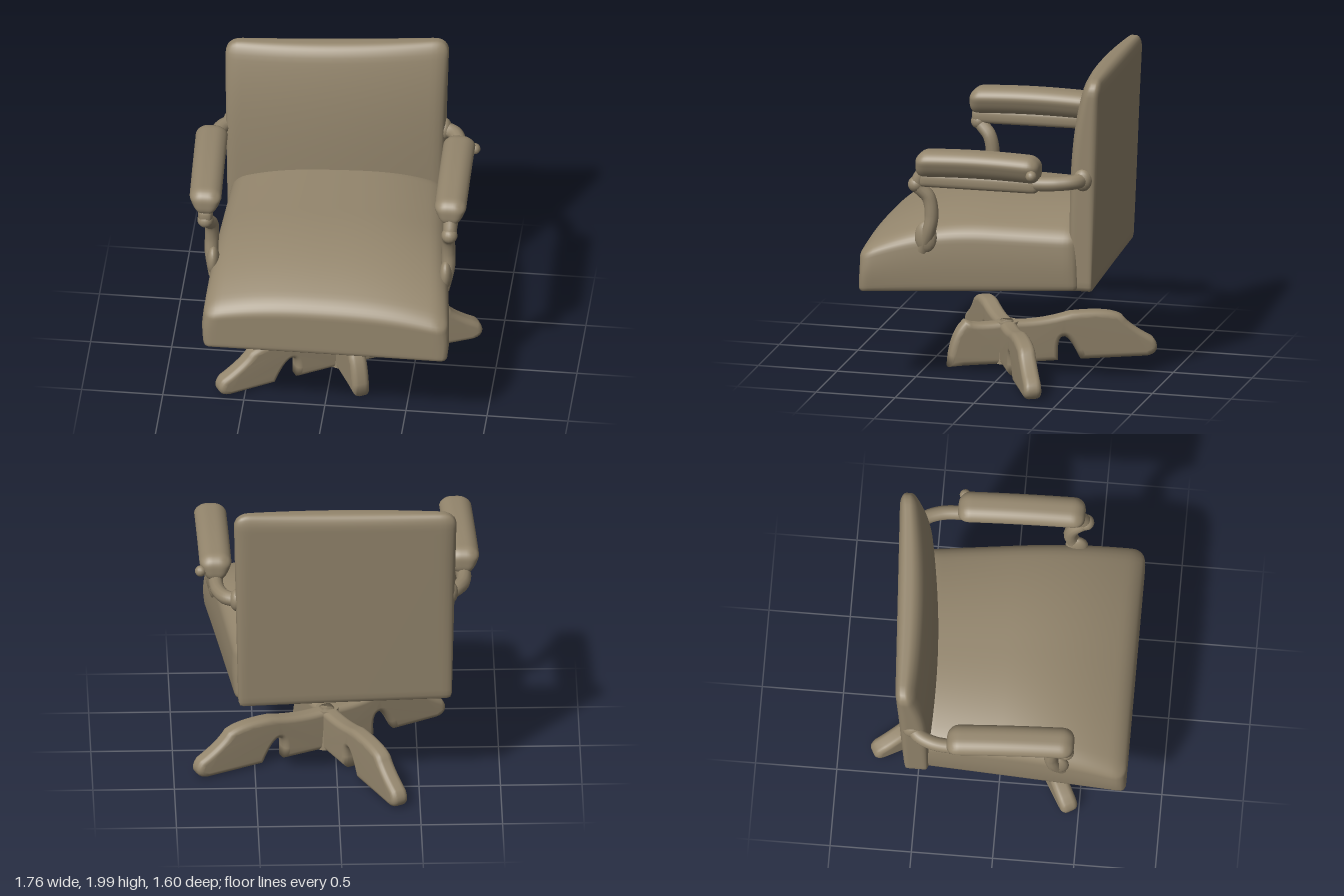
import * as THREE from 'three';
import { mergeVertices } from 'three/addons/utils/BufferGeometryUtils.js';

const material = new THREE.MeshStandardMaterial({ color: 0x94866d });
const { lerp } = THREE.MathUtils;
const V = (x, y, z) => new THREE.Vector3(x, y, z);

function part(name, geometry, parent) {
  const mesh = new THREE.Mesh(geometry, material);
  mesh.name = name;
  parent.add(mesh);
  return mesh;
}

// Padded box with rounded edges (radius changes from bottom to top), then bent by a rule.
function softBox([w, h, d], [nx, ny, nz], rBottom, rTop, rule) {
  let g = new THREE.BoxGeometry(w, h, d, nx, ny, nz);
  g.deleteAttribute('uv');
  g.deleteAttribute('normal');
  g = mergeVertices(g, 1e-5);
  const pos = g.attributes.position, p = V(), inner = V();
  for (let i = 0; i < pos.count; i++) {
    p.fromBufferAttribute(pos, i);
    const r = lerp(rBottom, rTop, p.y / h + 0.5);
    const half = V(w / 2 - r, h / 2 - r, d / 2 - r);
    inner.copy(p).clamp(half.clone().negate(), half);
    p.sub(inner).normalize().multiplyScalar(r).add(inner);
    rule(p);
    pos.setXYZ(i, p.x, p.y, p.z);
  }
  g.computeVertexNormals();
  return g;
}

function tube(points, radius) {
  return new THREE.TubeGeometry(new THREE.CatmullRomCurve3(points), 32, radius, 12);
}

// Crowned cushion, wider and lower at the front, its rear end inside the backrest
function seat() {
  return softBox([1.5, 0.5, 1.33], [44, 18, 44], 0.04, 0.09, (p) => {
    const u = p.x / 0.75, v = p.y / 0.5 + 0.5, t = p.z / 1.33 + 0.5;
    const z = lerp(-0.53, 0.795, t);
    const crown = lerp(0.12, 0.08, t) * Math.abs(u) ** 2.5;
    const top = 1.13 - 0.2 * Math.max(0, z / 0.8) ** 2.2 - crown;
    const bulge = 1 + 0.02 * Math.sin(Math.PI * v);
    p.set(lerp(-0.02, 0.033, t) + u * bulge * lerp(0.645, 0.752, t),
      lerp(lerp(0.655, 0.6, t), top, v), z - 0.03 * u * (1 - t));
  });
}

// Slightly turned back panel, cushioned in front and thinner at the top
function backrest() {
  return softBox([1.34, 1.32, 0.22], [40, 40, 12], 0.03, 0.085, (p) => {
    const u = p.x / 0.67, v = p.y / 1.32 + 0.5, f = p.z / 0.22 + 0.5;
    const rear = lerp(-0.61, -0.67, v);
    const front = -0.415 - 0.11 * v ** 4 - 0.05 * u * u;
    p.x = -0.045 + u * lerp(0.655, 0.685, v);
    p.y = 0.65 + v * (1.325 + 0.025 * u);
    p.z = lerp(rear, front, f) - 0.06 * p.x;
  });
}

// Padded arm: s is the side, cx and k place the pad, zc its middle
function arm(s, cx, k, zc, footX, backZ) {
  const group = new THREE.Group();
  const at = (z) => cx + k * z;
  part('armPad', softBox([0.19, 0.17, 0.78], [12, 12, 36], 0.06, 0.075, (p) => {
    const v = p.y / 0.17 + 0.5;
    p.x *= lerp(0.6, 1.05, Math.min(1, v * 1.6));
    p.y += 1.445 + 0.012 * Math.cos(p.z * 4);
    p.z += zc;
    p.x += at(p.z);
  }), group);
  part('armRail', softBox([0.09, 0.1, 0.76], [6, 6, 28], 0.035, 0.035, (p) => {
    p.y += 1.35;
    p.z += zc;
    p.x += at(p.z);
  }), group);
  const z0 = zc - 0.3, end = zc - 0.39;
  part('rearArmTube', tube([V(at(z0), 1.36, z0), V(at(end), 1.36, end),
    V(at(end) - s * 0.015, 1.365, lerp(end, backZ, 0.45)),
    V(at(end) - s * 0.06, 1.37, lerp(end, backZ, 0.82)),
    V(s > 0 ? 0.58 : -0.64, 1.37, backZ)], 0.045), group);
  const joint = part('armJoint', new THREE.SphereGeometry(1, 16, 12), group);
  joint.scale.set(0.045, 0.07, 0.06);
  joint.position.set(s > 0 ? 0.62 : -0.695, 1.37, backZ + 0.01);

  // Front post, scrolled under the pad and sinking into the seat side
  part('frontPost', tube([V(at(0.42), 1.4, 0.38), V(at(0.42), 1.31, 0.42),
    V(footX, 1.23, 0.355), V(footX, 1.12, 0.335), V(footX, 1.02, 0.35),
    V(footX - s * 0.03, 0.88, 0.4)], 0.043), group).name = 'frontPost';
  const scroll = part('armScroll', new THREE.SphereGeometry(0.05, 16, 12), group);
  scroll.position.set(at(0.43), 1.31, 0.43);
  const flare = part('postFlare', new THREE.SphereGeometry(1, 20, 14), group);
  flare.scale.set(0.04, 0.1, 0.07);
  flare.position.set(footX - s * 0.012, 0.97, 0.375);
  return group;
}

// Upright leg blade: central web, arch, then a foot sloping to the floor
function leg(length) {
  const s = new THREE.Shape();
  s.moveTo(0, 0.05);
  s.lineTo(0.28, 0.05);
  if (length > 0.5) {
    s.quadraticCurveTo(0.27, 0.2, 0.35, 0.2);
    s.quadraticCurveTo(0.41, 0.2, 0.48, 0.05);
    s.lineTo(length - 0.06, 0.045);
    s.quadraticCurveTo(length, 0.05, length - 0.04, 0.1);
    s.quadraticCurveTo(length - 0.18, 0.18, length - 0.23, 0.25);
    s.quadraticCurveTo(length - 0.3, 0.29, 0.4, 0.28);
  } else {
    s.lineTo(length - 0.04, 0.045);
    s.quadraticCurveTo(length - 0.06, 0.2, length - 0.12, 0.26);
  }
  s.quadraticCurveTo(0.2, 0.23, 0, 0.25);
  const g = new THREE.ExtrudeGeometry(s, { depth: 0.04, curveSegments: 8,
    bevelEnabled: true, bevelThickness: 0.035, bevelSize: 0.035, bevelSegments: 4 });
  g.translate(0, 0, -0.02);
  g.deleteAttribute('uv');
  g.deleteAttribute('normal');
  const smooth = mergeVertices(g, 1e-4);
  smooth.computeVertexNormals();
  return smooth;
}

export function createModel() {
  const model = new THREE.Group();
  model.name = 'armchair';
  part('seat', seat(), model);
  part('backrest', backrest(), model);

  const leftArm = arm(1, 0.75, 0.025, 0.035, 0.745, -0.6);
  leftArm.name = 'leftArm';
  const rightArm = arm(-1, -0.766, 0.05, 0.09, -0.715, -0.53);
  rightArm.name = 'rightArm';
  model.add(leftArm, rightArm);
  const nub = part('armNub', new THREE.SphereGeometry(0.035, 12, 10), leftArm);
  nub.position.set(0.835, 1.43, -0.32);

  // Star base, detached below the seat
  const base = new THREE.Group();
  base.name = 'base';
  base.position.set(0.05, 0, 0.04);
  model.add(base);
  const tips = [[-0.38, -0.78], [0.22, 0.38], [-0.66, 0.45], [0.86, -0.34]];
  for (const [x, z] of tips) {
    const dx = x - base.position.x, dz = z - base.position.z;
    const blade = part('baseLeg', leg(Math.hypot(dx, dz)), base);
    blade.rotation.y = Math.atan2(-dz, dx);
  }
  const hub = part('hub', new THREE.CylinderGeometry(0.07, 0.085, 0.26, 24), base);
  hub.position.y = 0.15;
  return model;
}
